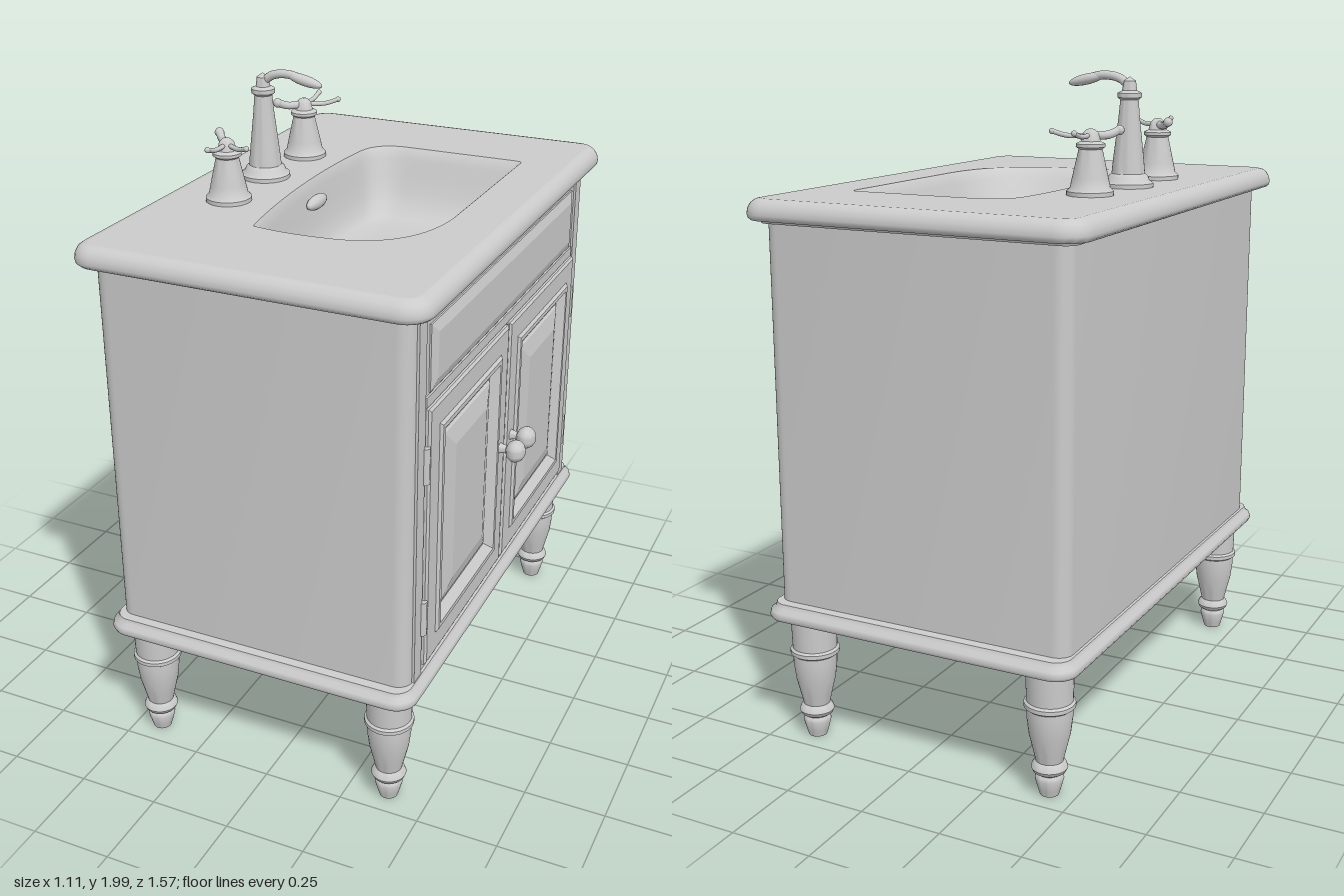
import * as THREE from 'three';
import { toCreasedNormals } from 'three/addons/utils/BufferGeometryUtils.js';

const material = new THREE.MeshStandardMaterial({ color: 0xcccccc, side: THREE.DoubleSide });

function add(parent, name, geometry, x = 0, y = 0, z = 0) {
  const mesh = new THREE.Mesh(geometry, material);
  mesh.name = name;
  mesh.position.set(x, y, z);
  parent.add(mesh);
  return mesh;
}

// Skin a series of closed rings that all have the same point count
function loft(rings, crease = 0.6) {
  const n = rings[0].length, index = [];
  for (let i = 0; i < rings.length - 1; i++) {
    for (let j = 0; j < n; j++) {
      const a = i * n + j, b = i * n + (j + 1) % n;
      index.push(a, b, b + n, a, b + n, a + n);
    }
  }
  const geometry = new THREE.BufferGeometry().setFromPoints(rings.flat());
  geometry.setIndex(index);
  return toCreasedNormals(geometry, crease);
}

// Counter-clockwise rounded rectangle outline
function roundedRect(u0, u1, v0, v1, r, steps = 8) {
  const points = [];
  [[u1 - r, v1 - r], [u0 + r, v1 - r], [u0 + r, v0 + r], [u1 - r, v0 + r]].forEach(([u, v], k) => {
    for (let i = 0; i <= steps; i++) {
      const a = (k + i / steps) * Math.PI / 2;
      points.push(new THREE.Vector2(u + r * Math.cos(a), v + r * Math.sin(a)));
    }
  });
  return points;
}

const level = (points, y) => points.map(p => new THREE.Vector3(p.x, y, -p.y));

// Horizontal slab ring, pulled in by an inset
const slabRing = (x0, x1, hz, r, inset, y) =>
  level(roundedRect(x0 + inset, x1 - inset, -hz + inset, hz - inset, Math.max(r - inset, 0.01)), y);

// Rectangular front panel facing +x from [inset, x] steps, closed at the end
function panel(y0, y1, z0, z1, profile) {
  const ring = (inset, x) => [[y1 - inset, z1 - inset], [y0 + inset, z1 - inset],
    [y0 + inset, z0 + inset], [y1 - inset, z0 + inset]].map(([y, z]) => new THREE.Vector3(x, y, z));
  const rings = profile.map(([inset, x]) => ring(inset, x));
  const x = profile[profile.length - 1][1];
  rings.push(rings[0].map(() => new THREE.Vector3(x, (y0 + y1) / 2, (z0 + z1) / 2)));
  return loft(rings, 0.1);
}

function lathe(profile, segments = 32) {
  return toCreasedNormals(new THREE.LatheGeometry(profile.map(([r, y]) => new THREE.Vector2(r, y)), segments), 0.7);
}

function tube(points, radius) {
  const curve = new THREE.CatmullRomCurve3(points.map(p => new THREE.Vector3(...p)));
  return new THREE.TubeGeometry(curve, 20, radius, 12);
}

// Countertop with a sunken basin
function countertop() {
  const group = new THREE.Group();
  group.name = 'countertop';
  const ring = (inset, y) => slabRing(-0.555, 0.51, 0.785, 0.08, inset, y);
  add(group, 'counterEdge', loft([[0.07, 1.59], [0.04, 1.59], [0.035, 1.6], [0.01, 1.6], [0.002, 1.607],
    [0, 1.617], [0.003, 1.633], [0.012, 1.648], [0.025, 1.657], [0.04, 1.66]].map(p => ring(...p)), 0.8));

  const rim = new THREE.Shape();
  rim.moveTo(-0.16, -0.425);
  rim.bezierCurveTo(-0.08, -0.44, 0.0, -0.44, 0.08, -0.43);
  rim.bezierCurveTo(0.26, -0.41, 0.33, -0.28, 0.33, -0.1);
  rim.lineTo(0.33, 0.42);
  rim.lineTo(0.33, 0.47);
  rim.lineTo(-0.08, 0.468);
  rim.quadraticCurveTo(-0.18, 0.46, -0.19, 0.36);
  rim.bezierCurveTo(-0.22, 0.1, -0.2, -0.2, -0.16, -0.425);
  const outline = rim.getSpacedPoints(100).slice(0, -1);

  const top = new THREE.Shape(roundedRect(-0.515, 0.47, -0.745, 0.745, 0.04));
  top.holes.push(new THREE.Path(outline));
  add(group, 'counterTop', new THREE.ShapeGeometry(top).rotateX(-Math.PI / 2), 0, 1.66, 0);

  const bowl = [[1, 0], [0.975, 0.008], [0.94, 0.035], [0.89, 0.08], [0.83, 0.13], [0.75, 0.175],
    [0.64, 0.205], [0.45, 0.215], [0.2, 0.22], [0, 0.22]];
  const centre = new THREE.Vector2(-0.02, 0.14);
  add(group, 'basin', loft(bowl.map(([s, d]) =>
    level(outline.map(p => p.clone().sub(centre).multiplyScalar(s).add(centre)), 1.66 - d)), 0.9));
  add(group, 'overflow', new THREE.SphereGeometry(1, 20, 12), -0.17, 1.6, 0).scale.set(0.02, 0.022, 0.06);
  return group;
}

// Lever handle with three arms, aimed outward by side
function handle(side) {
  const group = new THREE.Group();
  group.name = side > 0 ? 'leftHandle' : 'rightHandle';
  group.position.set(-0.335, 1.66, side * 0.25);
  add(group, 'handleBase', lathe([[0.068, 0], [0.068, 0.012], [0.058, 0.022], [0.052, 0.05], [0.036, 0.12],
    [0.034, 0.13], [0.042, 0.136], [0.042, 0.145], [0.028, 0.152], [0.022, 0.175], [0.012, 0.185], [0, 0.187]]));
  [[-0.06, -0.065, 0.012], [0.095, 0.055, 0.007], [0, 0.11, 0.007]].forEach(([x, z, r]) => {
    add(group, 'handleArm', tube([[0, 0.168, 0], [x * 0.6, 0.168, z * 0.6 * side], [x, 0.18, z * side]], r));
    add(group, 'armTip', new THREE.SphereGeometry(r * 1.2, 12, 8), x, 0.18, z * side);
  });
  return group;
}

function faucet() {
  const group = new THREE.Group();
  group.name = 'faucet';
  add(group, 'faucetColumn', lathe([[0.076, 0], [0.076, 0.012], [0.064, 0.02], [0.06, 0.032], [0.05, 0.04],
    [0.046, 0.08], [0.032, 0.2], [0.027, 0.255], [0.036, 0.262], [0.036, 0.275], [0.022, 0.282],
    [0.018, 0.31], [0, 0.322]]), -0.345, 1.66, 0);
  add(group, 'spout', tube([[-0.345, 1.955, 0], [-0.31, 1.978, 0], [-0.26, 1.985, 0], [-0.2, 1.972, 0]], 0.013));
  const tip = add(group, 'spoutTip', new THREE.SphereGeometry(1, 20, 12), -0.205, 1.972, 0);
  tip.scale.set(0.06, 0.016, 0.018);
  tip.rotation.z = -0.22;
  group.add(handle(1), handle(-1));
  return group;
}

// Door with a moulded frame, raised panel, knob and hinges
function door(side) {
  const group = new THREE.Group();
  group.name = side > 0 ? 'leftDoor' : 'rightDoor';
  const [z0, z1] = side > 0 ? [0.006, 0.635] : [-0.635, -0.006];
  add(group, 'doorPanel', panel(0.485, 1.305, z0, z1, [[0, 0.44], [0, 0.466], [0.008, 0.472], [0.07, 0.472],
    [0.078, 0.48], [0.092, 0.48], [0.108, 0.466], [0.12, 0.456], [0.128, 0.456], [0.135, 0.462], [0.19, 0.476]]));
  const knob = add(group, 'knob', lathe([[0.018, 0], [0.014, 0.01], [0.012, 0.025], [0.026, 0.032], [0.035, 0.048],
    [0.035, 0.06], [0.026, 0.075], [0.012, 0.083], [0, 0.084]], 24), 0.469, 0.91, side * 0.05);
  knob.rotation.z = -Math.PI / 2;
  for (const y of [0.65, 1.14]) add(group, 'hinge', new THREE.CylinderGeometry(0.013, 0.013, 0.11, 12), 0.462, y, side * 0.64);
  return group;
}

export function createModel() {
  const model = new THREE.Group();
  model.name = 'washstand';

  // Cabinet walls and base moulding
  const wall = y => slabRing(-0.5, 0.455, 0.735, 0.045, 0, y);
  add(model, 'cabinetBody', loft([wall(0.44), wall(1.6)]));
  const base = (inset, y) => slabRing(-0.53, 0.485, 0.785, 0.07, inset, y);
  const floor = base(0.02, 0.405);
  add(model, 'baseMoulding', loft([floor.map(() => new THREE.Vector3(0, 0.405, 0)), floor, base(0.005, 0.41),
    base(0, 0.42), base(0.004, 0.435), base(0.018, 0.445), base(0.022, 0.458), base(0.06, 0.46)], 0.8));

  // Face frame strips beside the doors and drawer
  for (const s of [-1, 1]) {
    add(model, 'frontPost', new THREE.BoxGeometry(0.02, 1.14, 0.05), 0.452, 1.03, s * 0.67);
  }
  add(model, 'frontRail', new THREE.BoxGeometry(0.02, 0.03, 1.27), 0.451, 1.323, 0);
  add(model, 'drawerFront', panel(1.345, 1.54, -0.61, 0.61,
    [[0, 0.44], [0, 0.46], [0.012, 0.464], [0.03, 0.47]]));
  const lock = add(model, 'lockButton', new THREE.SphereGeometry(1, 16, 10), 0.458, 1.575, 0.055);
  lock.scale.set(0.01, 0.014, 0.022);
  model.add(door(1), door(-1));

  // Turned legs
  const leg = lathe([[0, 0.01], [0.028, 0.01], [0.034, 0.03], [0.042, 0.06], [0.04, 0.07], [0.036, 0.076],
    [0.048, 0.084], [0.053, 0.095], [0.048, 0.108], [0.04, 0.116], [0.048, 0.15], [0.06, 0.2], [0.066, 0.25],
    [0.066, 0.278], [0.074, 0.284], [0.074, 0.296], [0.067, 0.302], [0.07, 0.41]]);
  for (const x of [-0.42, 0.375]) for (const z of [-0.67, 0.67]) add(model, 'leg', leg, x, 0, z);

  model.add(countertop(), faucet());
  return model;
}
